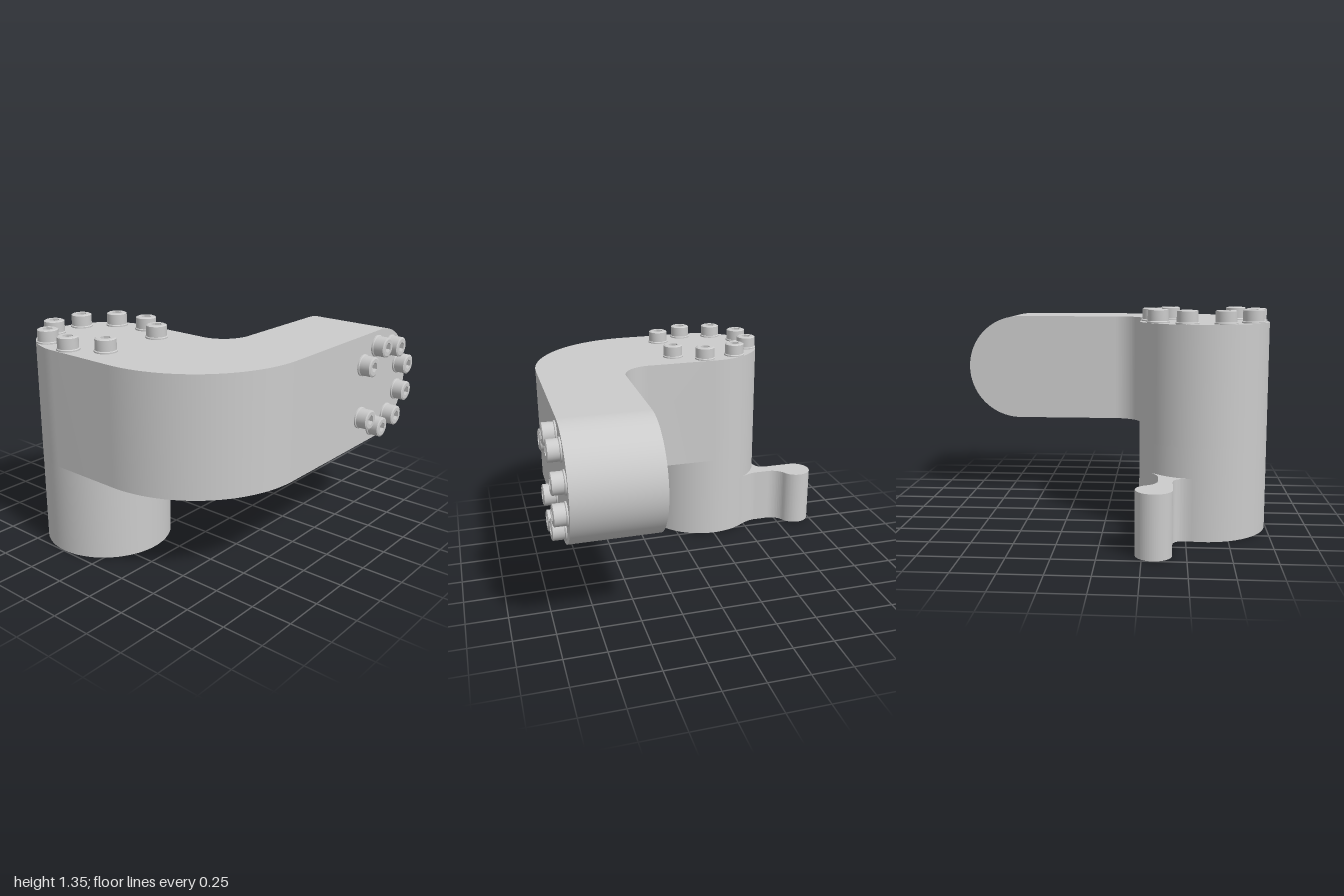
import * as THREE from 'three';
import { toCreasedNormals } from 'three/addons/utils/BufferGeometryUtils.js';

const PI = Math.PI, rad = THREE.MathUtils.degToRad;
const grey = new THREE.MeshStandardMaterial({ color: 0xcccccc });
const greyDouble = new THREE.MeshStandardMaterial({ color: 0xcccccc, side: THREE.DoubleSide });

function mesh(name, geometry, material = grey) {
  const m = new THREE.Mesh(geometry, material);
  m.name = name;
  return m;
}

// Extrude a plan outline (x, -z) upwards from y0 to y1
function plan(shape, y0, y1) {
  const g = new THREE.ExtrudeGeometry(shape, { depth: y1 - y0, bevelEnabled: false, curveSegments: 40 });
  g.rotateX(-PI / 2).translate(0, y0, 0);
  return toCreasedNormals(g, 0.5);
}

// Socket-head bolt standing on y = 0
const R = 0.052, HEX = 0.032, H = 0.08, DEPTH = 0.04;
const headGeo = toCreasedNormals(new THREE.LatheGeometry(
  [[0.068, 0], [0.068, 0.008], [0.062, 0.012], [0.062, 0.075], [R, H]].map(p => new THREE.Vector2(...p)), 32), 0.5);
const rim = new THREE.Shape().absarc(0, 0, R, 0, 2 * PI, false);
rim.holes.push(new THREE.Path(Array.from({ length: 6 }, (_, i) =>
  new THREE.Vector2(HEX * Math.sin(-i * PI / 3), -HEX * Math.cos(-i * PI / 3)))));
const rimGeo = new THREE.ShapeGeometry(rim, 32).rotateX(-PI / 2).translate(0, H, 0);
const wallGeo = toCreasedNormals(new THREE.CylinderGeometry(HEX, HEX, DEPTH, 6, 1, true), 0.3)
  .translate(0, H - DEPTH / 2, 0);
const floorGeo = toCreasedNormals(new THREE.CylinderGeometry(HEX, 0.001, 0.012, 6, 1, true), 0.1)
  .translate(0, H - DEPTH - 0.006, 0);

function bolt() {
  const g = new THREE.Group();
  g.name = 'bolt';
  g.add(mesh('boltHead', headGeo), mesh('boltRim', rimGeo),
    mesh('socketWall', wallGeo, greyDouble), mesh('socketFloor', floorGeo, greyDouble));
  return g;
}

// Eight bolts on a circle, leaving a gap towards the arm
function boltCircle(name, radius) {
  const g = new THREE.Group();
  g.name = name;
  for (const a of [40, 80, 120, 160]) for (const s of [1, -1]) {
    const b = bolt();
    b.position.set(radius * Math.cos(rad(a)), 0, s * radius * Math.sin(rad(a)));
    g.add(b);
  }
  return g;
}

export function createModel() {
  const model = new THREE.Group();
  model.name = 'elbowArm';
  const px = -0.255, pz = 0.605, pr = 0.39;   // post centre and radius
  const y0 = 0.555, y1 = 1.265;               // arm bottom and top
  const er = (y1 - y0) / 2, ez = -0.645;      // rounded end radius and centre

  // Bent arm
  const arm = new THREE.Shape();
  arm.moveTo(px, -0.995);
  arm.lineTo(0.2, -0.995);
  arm.absarc(0.2, -0.28, 0.715, -PI / 2, 0, false);
  arm.lineTo(0.915, -ez);
  arm.lineTo(0.39, -ez);
  arm.lineTo(0.39, -0.025);
  arm.absarc(0.2, -0.025, 0.19, 0, -PI / 2, true);
  arm.lineTo(px, -pz + pr);
  arm.absarc(px, -pz, pr, PI / 2, 1.5 * PI, false);
  model.add(mesh('arm', plan(arm, y0, y1)));

  // Half-round end of the arm, lying along x
  const end = new THREE.CylinderGeometry(er, er, 0.525, 48, 1, false, PI / 2, PI);
  end.rotateZ(-PI / 2).translate(0.6525, y0 + er, ez);
  model.add(mesh('armEnd', end));

  // Upright post under the arm
  const post = new THREE.CylinderGeometry(pr, pr, y0, 80).translate(px, y0 / 2, pz);
  model.add(mesh('post', post));

  // Lever with a round knob, filleted into the post
  const lever = new THREE.Shape();
  lever.moveTo(-0.895, -0.42);
  lever.lineTo(-0.72, -0.42);
  lever.quadraticCurveTo(-0.62, -0.42, -0.638, -0.53);
  lever.absarc(px, -pz, pr, rad(168.9), rad(121.7), true);
  lever.quadraticCurveTo(-0.55, -0.335, -0.6, -0.335);
  lever.lineTo(-0.7, -0.335);
  lever.absarc(-0.7, -0.225, 0.11, rad(270), rad(204.8), true);
  lever.absarc(-0.895, -0.315, 0.105, rad(24.8), rad(270), false);
  model.add(mesh('lever', plan(lever, 0, 0.375)));

  // Bolts on the top, and on the side of the rounded end
  const top = boltCircle('topBolts', 0.322);
  top.position.set(px, y1, pz);
  const side = boltCircle('sideBolts', 0.263);
  side.rotation.set(0, -PI / 2, -PI / 2, 'ZYX');
  side.position.set(0.915, y0 + er, ez);
  model.add(top, side);
  return model;
}
